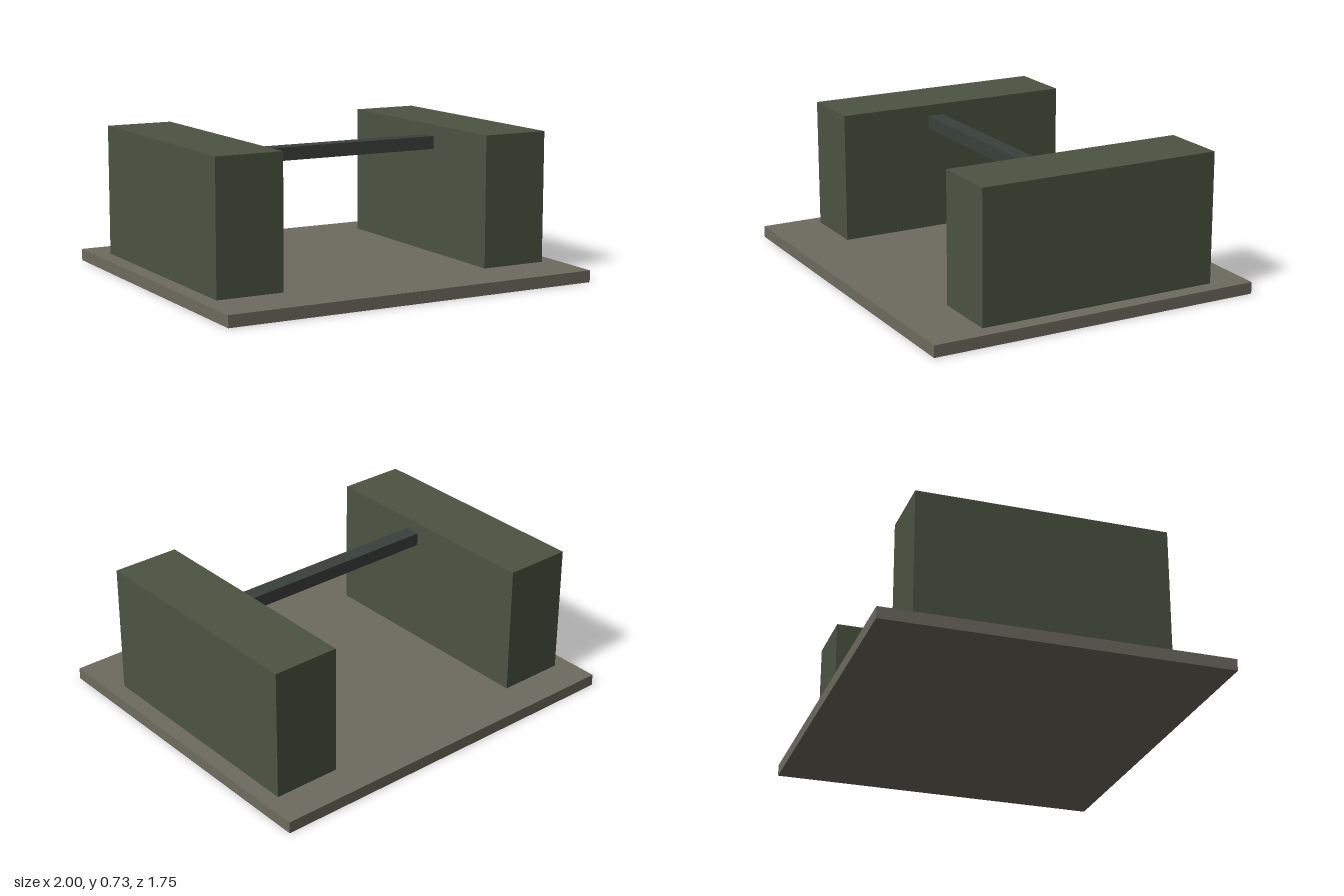
import * as THREE from 'three';

const material = (name, color) => {
  const m = new THREE.MeshStandardMaterial({ color });
  m.name = name;
  return m;
};

// Box given by its lowest and highest corners
function box(name, mat, [x0, y0, z0], [x1, y1, z1]) {
  const mesh = new THREE.Mesh(new THREE.BoxGeometry(x1 - x0, y1 - y0, z1 - z0), mat);
  mesh.position.set((x0 + x1) / 2, (y0 + y1) / 2, (z0 + z1) / 2);
  mesh.name = name;
  return mesh;
}

export function createModel() {
  const stone = material('stone grey', 0x6e6b5f);
  const olive = material('olive green', 0x4c5442);
  const iron = material('dark iron', 0x3a413c);
  const model = new THREE.Group();
  model.name = 'barrierBlocks';

  // Ground slab
  model.add(box('baseSlab', stone, [-1, 0, -0.875], [1, 0.06, 0.875]));

  // Pair of side walls, set slightly back on the slab
  for (const [name, side] of [['leftWall', 1], ['rightWall', -1]]) {
    const wall = box(name, olive, [0.567, 0.06, -0.685], [0.917, 0.73, 0.583]);
    wall.position.x *= side;
    model.add(wall);
  }

  // Bar spanning the gap between the walls
  model.add(box('crossBar', iron, [-0.57, 0.604, 0.014], [0.57, 0.671, 0.097]));

  return model;
}
